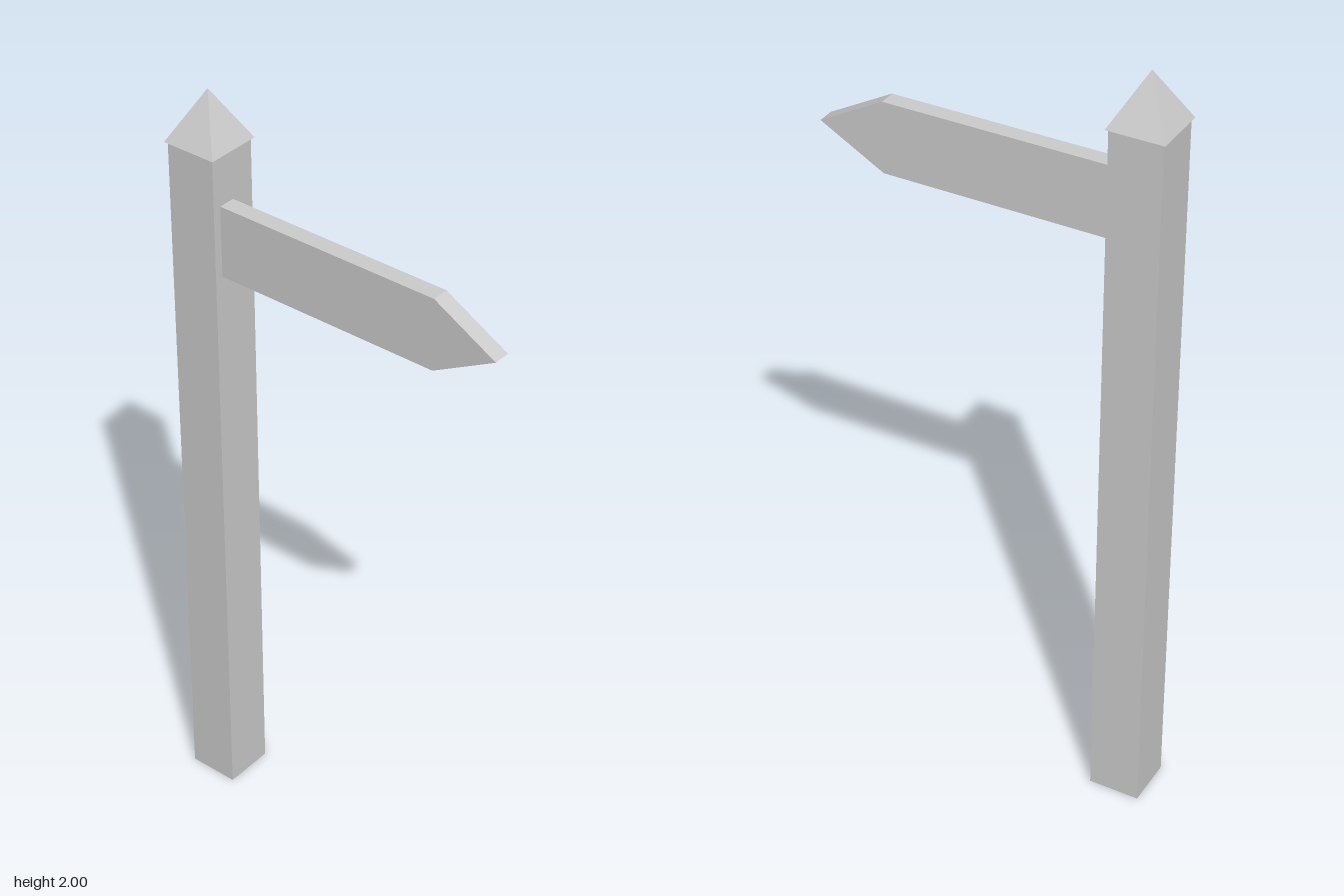
import * as THREE from 'three';

export function createModel() {
  const group = new THREE.Group();
  group.name = 'signpost';
  const grey = new THREE.MeshStandardMaterial({ color: 0xcccccc, flatShading: true, side: THREE.DoubleSide });
  grey.name = 'grey';

  const add = (name, geometry, x, y, z) => {
    const mesh = new THREE.Mesh(geometry, grey);
    mesh.name = name;
    mesh.position.set(x, y, z);
    group.add(mesh);
  };

  // Four-sided prism or pyramid with its sides square to the axes
  const square = (topHalf, baseHalf, height, open) =>
    new THREE.CylinderGeometry(topHalf * Math.SQRT2, baseHalf * Math.SQRT2, height, 4, 1, open)
      .rotateY(Math.PI / 4);

  const postX = -0.385, capBase = 1.87;

  // Hollow post, open at the foot
  add('post', square(0.066, 0.066, capBase, true), postX, capBase / 2, 0);

  // Pyramid cap with a small overhang
  add('cap', square(0, 0.072, 2 - capBase, false), postX, (2 + capBase) / 2, 0);

  // Pointed direction board fixed to the side of the post
  const board = new THREE.Shape([
    [-0.319, 1.555], [0.287, 1.555], [0.455, 1.648], [0.287, 1.741], [-0.319, 1.741],
  ].map(([x, y]) => new THREE.Vector2(x, y)));
  add('arrowBoard', new THREE.ExtrudeGeometry(board, { depth: 0.044, bevelEnabled: false }), 0, 0, 0);

  return group;
}
